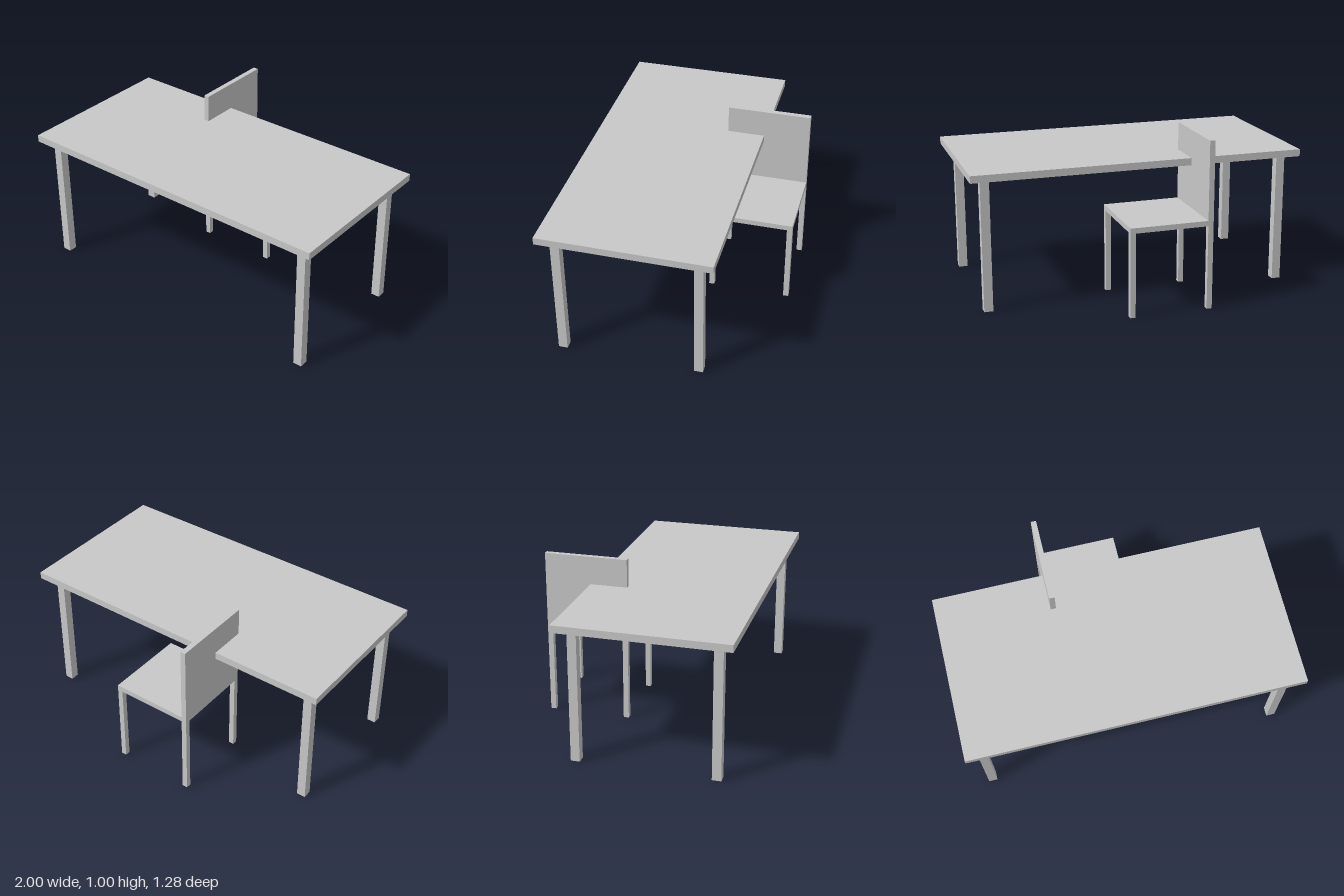
import * as THREE from 'three';

const grey = new THREE.MeshStandardMaterial({ color: 0xc8c8c8 });
grey.name = 'light grey';

// Box given by its extents along each axis
function block(name, [x0, x1], [y0, y1], [z0, z1]) {
  const mesh = new THREE.Mesh(new THREE.BoxGeometry(x1 - x0, y1 - y0, z1 - z0), grey);
  mesh.name = name;
  mesh.position.set((x0 + x1) / 2, (y0 + y1) / 2, (z0 + z1) / 2);
  return mesh;
}

// Four square legs, one for each pairing of the x and z centres
function addLegs(group, name, xs, zs, width, height) {
  const h = width / 2;
  for (const x of xs) for (const z of zs) {
    group.add(block(name, [x - h, x + h], [0, height], [z - h, z + h]));
  }
}

function createTable() {
  const table = new THREE.Group();
  table.name = 'table';
  table.add(block('tableTop', [-1, 1], [0.792, 0.835], [-0.361, 0.638]));
  addLegs(table, 'tableLeg', [-0.907, 0.907], [-0.265, 0.547], 0.053, 0.792);
  return table;
}

// Chair tucked partly under the table, its back on the -x side
function createChair() {
  const chair = new THREE.Group();
  chair.name = 'chair';
  const z = [-0.638, -0.139];
  chair.add(block('seat', [-0.335, 0.163], [0.503, 0.535], z));
  chair.add(block('backrest', [-0.335, -0.303], [0.535, 1.002], z));
  addLegs(chair, 'chairLeg', [-0.319, 0.147], [-0.622, -0.155], 0.032, 0.503);
  return chair;
}

export function createModel() {
  const model = new THREE.Group();
  model.name = 'tableWithChair';
  model.add(createTable(), createChair());
  return model;
}
